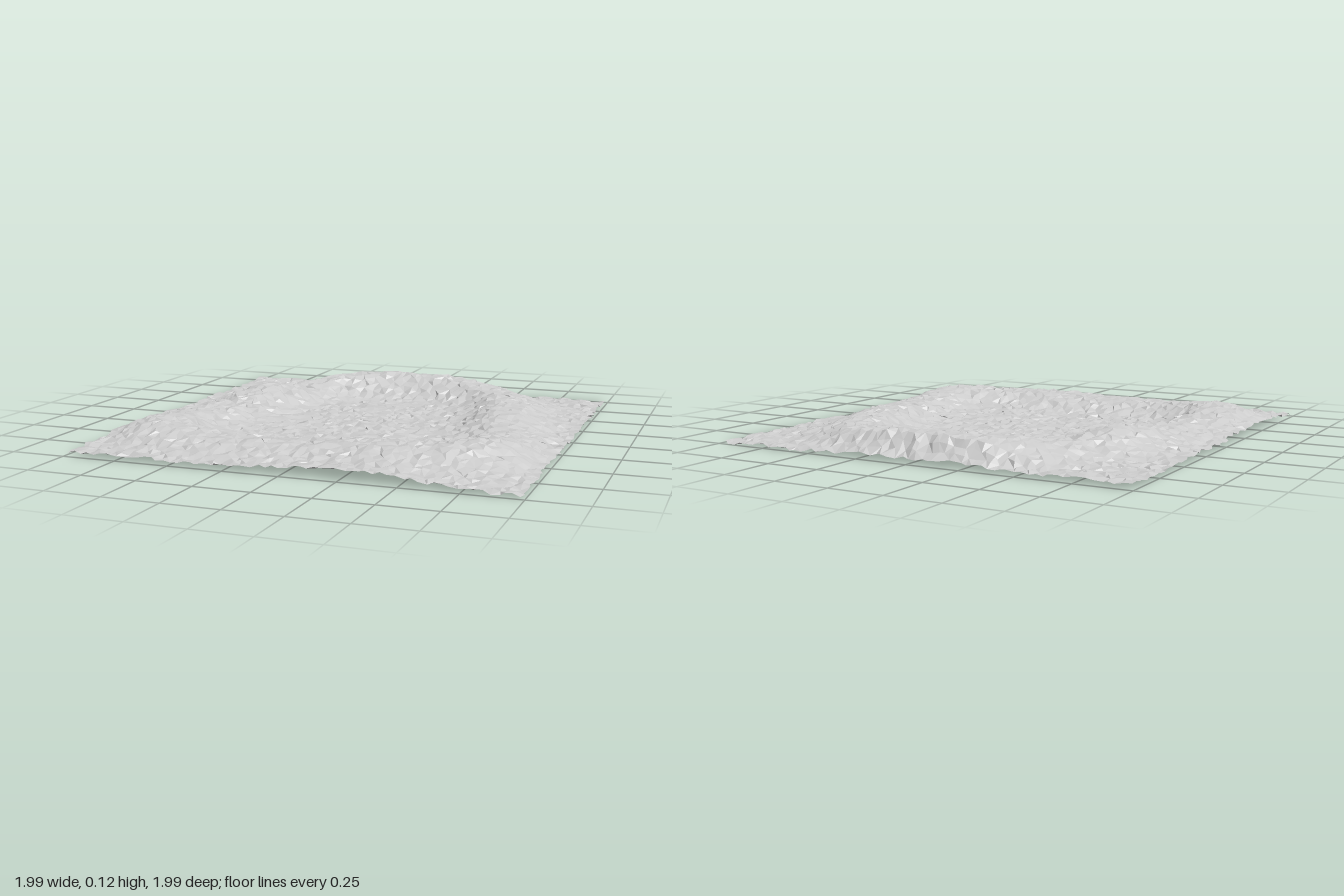
import * as THREE from 'three';

// Small seeded random generator
function seeded(seed) {
  return () => {
    seed = (seed * 1664525 + 1013904223) % 4294967296;
    return seed / 4294967296 - 0.5;
  };
}

// Crest of the ridge around the basin: x, height, z
const crest = new THREE.CatmullRomCurve3([
  [-0.68, 0.085, 0.0], [-0.62, 0.125, -0.33], [-0.53, 0.09, -0.54],
  [-0.4, 0.115, -0.74], [-0.2, 0.128, -0.86], [0.1, 0.13, -0.86],
  [0.32, 0.112, -0.78], [0.5, 0.1, -0.64], [0.6, 0.107, -0.36],
  [0.65, 0.1, -0.08], [0.72, 0.08, 0.22], [0.69, 0.115, 0.52],
  [0.45, 0.105, 0.63], [0.15, 0.095, 0.64], [-0.15, 0.085, 0.67],
  [-0.45, 0.09, 0.68], [-0.74, 0.115, 0.55], [-0.73, 0.09, 0.25],
].map((p) => new THREE.Vector3(...p)), true).getSpacedPoints(160);

const bell = (t, width) => Math.exp(-((t / width) ** 2));

// Ground height from the ridge, the low basin and the sloping outskirts
function groundHeight(x, z) {
  let best = Infinity, top = crest[0];
  for (const p of crest) {
    const d = (p.x - x) ** 2 + (p.z - z) ** 2;
    if (d < best) { best = d; top = p; }
  }
  const inside = Math.hypot(x, z) < Math.hypot(top.x, top.z);
  const base = inside
    ? 0.028
    : 0.028 - 0.006 * x
      + 0.036 * bell(x - 0.25, 0.4) * bell(z - 1, 0.3)
      + 0.022 * bell(x + 1, 0.3) * bell(z - 0.45, 0.3);
  const fromCrest = Math.max(0, Math.sqrt(best) - 0.03);
  const fromEdge = 1 - Math.max(Math.abs(x), Math.abs(z));
  const ridge = bell(fromCrest, inside ? 0.13 : 0.17) * Math.min(1, fromEdge / 0.11);
  const ripple = 0.004 * Math.sin(9 * x + 4 * z) * Math.sin(8 * z - 3 * x + 1);
  return base + (top.y - base) * ridge + ripple;
}

function createTerrain() {
  const cells = 64, row = cells + 1;
  const geometry = new THREE.PlaneGeometry(1.97, 1.97, cells, cells);
  geometry.rotateX(-Math.PI / 2);

  // Split neighbouring squares along opposite diagonals
  const index = [];
  for (let j = 0; j < cells; j++) {
    for (let i = 0; i < cells; i++) {
      const a = j * row + i, b = a + 1, c = a + row, d = c + 1;
      if ((i + j) % 2) index.push(a, c, b, c, d, b);
      else index.push(a, c, d, a, d, b);
    }
  }
  geometry.setIndex(index);

  // Rough up every point sideways and in height
  const pos = geometry.attributes.position;
  const random = seeded(17);
  for (let i = 0; i < pos.count; i++) {
    const x = pos.getX(i), z = pos.getZ(i);
    pos.setXYZ(
      i,
      x + random() * 0.022,
      groundHeight(x, z) + random() * 0.015,
      z + random() * 0.022,
    );
  }

  // Rest the lowest point on the ground
  geometry.computeBoundingBox();
  geometry.translate(0, -geometry.boundingBox.min.y, 0);
  geometry.computeVertexNormals();

  const terrain = new THREE.Mesh(geometry, new THREE.MeshStandardMaterial({
    color: 0xcccccc, flatShading: true, side: THREE.DoubleSide,
  }));
  terrain.name = 'terrain';
  return terrain;
}

export function createModel() {
  const model = new THREE.Group();
  model.name = 'rockyBasin';
  model.add(createTerrain());
  return model;
}
